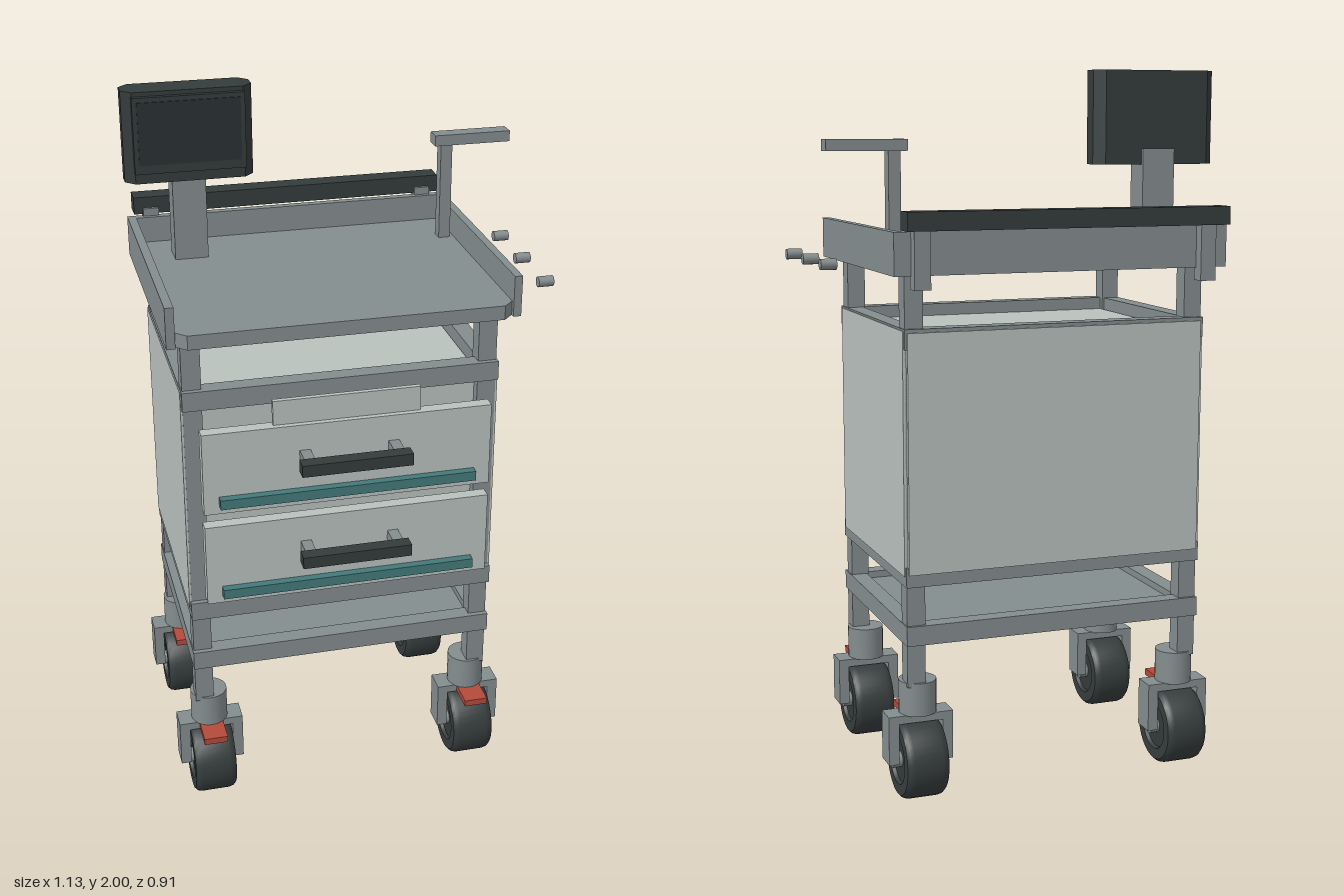
import * as THREE from 'three';
import { toCreasedNormals } from 'three/addons/utils/BufferGeometryUtils.js';

const mat = (name, color) => {
  const m = new THREE.MeshStandardMaterial({ color });
  m.name = name;
  return m;
};

export function createModel() {
  const steel = mat('grey steel', 0x848d8e);
  const panel = mat('light panel', 0xb9c1bd);
  const dark = mat('dark plastic', 0x343b3b);
  const rubber = mat('rubber', 0x363c3c);
  const screenMat = mat('screen black', 0x2a3132);
  const teal = mat('teal trim', 0x44797a);
  const red = mat('brake red', 0xb34a3a);

  const root = new THREE.Group();
  root.name = 'equipmentCart';

  const add = (name, geo, m, parent = root) => {
    const mesh = new THREE.Mesh(geo, m);
    mesh.name = name;
    parent.add(mesh);
    return mesh;
  };
  // Box given by its limits on each axis
  const box = (name, m, [x0, x1], [y0, y1], [z0, z1], parent = root) => {
    const mesh = add(name, new THREE.BoxGeometry(x1 - x0, y1 - y0, z1 - z0), m, parent);
    mesh.position.set((x0 + x1) / 2, (y0 + y1) / 2, (z0 + z1) / 2);
    return mesh;
  };
  // Rectangle with chamfered corners, drawn in x and z, extruded upwards
  const chamferedSlab = (name, m, [x0, x1], [y0, y1], [z0, z1], c) => {
    const pts = [
      [x0 + c, z0], [x1 - c, z0], [x1, z0 + c], [x1, z1 - c],
      [x1 - c, z1], [x0 + c, z1], [x0, z1 - c], [x0, z0 + c],
    ].map(([x, z]) => new THREE.Vector2(x, -z));
    const geo = new THREE.ExtrudeGeometry(new THREE.Shape(pts), { depth: y1 - y0, bevelEnabled: false });
    geo.rotateX(-Math.PI / 2);
    geo.translate(0, y0, 0);
    return add(name, geo, m);
  };

  // Corner posts
  for (const x of [-0.505, 0.314])
    for (const z of [-0.332, 0.234])
      box('cornerPost', steel, [x, x + 0.052], [0.33, 1.48], [z, z + 0.05]);

  // Three rectangular rail frames
  for (const y of [0.45, 0.615, 1.265]) {
    const frame = new THREE.Group();
    frame.name = 'railFrame';
    root.add(frame);
    const h = [y, y + 0.055];
    for (const z of [-0.341, 0.25]) box('crossRail', steel, [-0.508, 0.369], h, [z, z + 0.049], frame);
    for (const x of [-0.508, 0.32]) box('sideRail', steel, [x, x + 0.049], h, [-0.3, 0.26], frame);
  }
  box('lowerShelf', steel, [-0.47, 0.33], [0.465, 0.485], [-0.31, 0.26]);

  // Cabinet body and outer panels
  box('cabinetBody', panel, [-0.453, 0.316], [0.65, 1.285], [-0.325, 0.255]);
  box('rightPanel', panel, [-0.511, -0.499], [0.645, 1.315], [-0.332, 0.283]);
  box('leftPanel', panel, [0.36, 0.372], [0.645, 1.315], [-0.332, 0.283]);
  box('backPanel', panel, [-0.5, 0.362], [0.65, 1.31], [-0.345, -0.33]);
  box('drawerDivider', steel, [-0.46, 0.322], [0.945, 0.975], [0.25, 0.28]);

  // Drawers with handles and trim strips
  for (const y of [0.70, 0.98]) {
    const drawer = new THREE.Group();
    drawer.name = 'drawer';
    drawer.position.y = y;
    root.add(drawer);
    box('drawerBox', panel, [-0.44, 0.30], [0.04, 0.2], [0.1, 0.322], drawer);
    box('drawerFront', panel, [-0.47, 0.333], [0, 0.24], [0.32, 0.357], drawer);
    box('trimStrip', teal, [-0.428, 0.288], [0.024, 0.052], [0.355, 0.381], drawer);
    box('handleGrip', dark, [-0.219, 0.086], [0.134, 0.168], [0.415, 0.455], drawer);
    for (const x of [-0.205, 0.042])
      box('handleStem', steel, [x, x + 0.03], [0.137, 0.165], [0.356, 0.417], drawer);
  }
  box('labelPlate', panel, [-0.273, 0.135], [1.21, 1.29], [0.326, 0.341]);

  // Tray top with lips on three sides
  chamferedSlab('trayPlate', steel, [-0.526, 0.393], [1.465, 1.505], [-0.392, 0.352], 0.032);
  box('rightLip', steel, [-0.547, -0.523], [1.465, 1.58], [-0.395, 0.337]);
  box('leftLip', steel, [0.39, 0.412], [1.465, 1.58], [-0.395, 0.337]);
  box('backLip', steel, [-0.525, 0.392], [1.465, 1.58], [-0.395, -0.372]);

  // Rear push bar on two brackets
  box('pushBar', dark, [-0.526, 0.393], [1.584, 1.634], [-0.455, -0.395]);
  for (const x of [-0.5, 0.321])
    box('barBracket', steel, [x, x + 0.045], [1.43, 1.602], [-0.425, -0.385]);

  // Display on its column
  box('displayColumn', steel, [-0.437, -0.342], [1.5, 1.787], [-0.284, -0.205]);
  chamferedSlab('displayHousing', dark, [-0.568, -0.207], [1.744, 2], [-0.273, -0.178], 0.027);
  box('displayBezel', dark, [-0.543, -0.232], [1.775, 1.988], [-0.18, -0.163]);
  box('displayScreen', screenMat, [-0.53, -0.245], [1.8, 1.975], [-0.164, -0.16]);

  // Side arm
  box('armUpright', steel, [0.344, 0.378], [1.5, 1.79], [-0.24, -0.204]);
  box('armBeam', steel, [0.325, 0.549], [1.784, 1.815], [-0.247, -0.199]);

  // Accessory pegs along the left side
  for (const z of [-0.222, -0.028, 0.165]) {
    const peg = add('accessoryPeg', new THREE.CylinderGeometry(0.015, 0.015, 0.044, 16), steel);
    peg.rotation.z = Math.PI / 2;
    peg.position.set(0.542, 1.488, z);
  }

  // Casters: swivel barrel, fork, wheel and brake pedal
  const tireProfile = [
    [0.06, -0.045], [0.066, -0.046], [0.07, -0.06], [0.1, -0.06], [0.108, -0.052], [0.111, -0.04],
    [0.111, 0.04], [0.108, 0.052], [0.1, 0.06], [0.07, 0.06], [0.066, 0.046], [0.06, 0.045],
  ].map(([r, y]) => new THREE.Vector2(r, y));
  const tireGeo = toCreasedNormals(new THREE.LatheGeometry(tireProfile, 40), 0.6);
  tireGeo.rotateZ(Math.PI / 2);
  const hubGeo = new THREE.CylinderGeometry(0.065, 0.065, 0.1, 32).rotateZ(Math.PI / 2);
  const axleGeo = new THREE.CylinderGeometry(0.022, 0.022, 0.15, 16).rotateZ(Math.PI / 2);
  const barrelGeo = new THREE.CylinderGeometry(0.053, 0.053, 0.095, 24);

  for (const x of [-0.462, 0.325])
    for (const z of [-0.288, 0.24]) {
      const caster = new THREE.Group();
      caster.name = 'caster';
      caster.position.set(x, 0, z);
      root.add(caster);
      add('swivelBarrel', barrelGeo, steel, caster).position.y = 0.293;
      for (const [name, geo, m] of [['tire', tireGeo, rubber], ['hub', hubGeo, dark], ['axle', axleGeo, steel]])
        add(name, geo, m, caster).position.y = 0.111;
      box('forkBridge', steel, [-0.093, 0.093], [0.224, 0.247], [-0.034, 0.034], caster);
      for (const s of [-0.093, 0.063])
        box('forkArm', steel, [s, s + 0.03], [0.108, 0.23], [-0.034, 0.034], caster);
      box('brakePedal', red, [-0.034, 0.034], [0.225, 0.244], [0.03, 0.117], caster);
    }

  return root;
}
